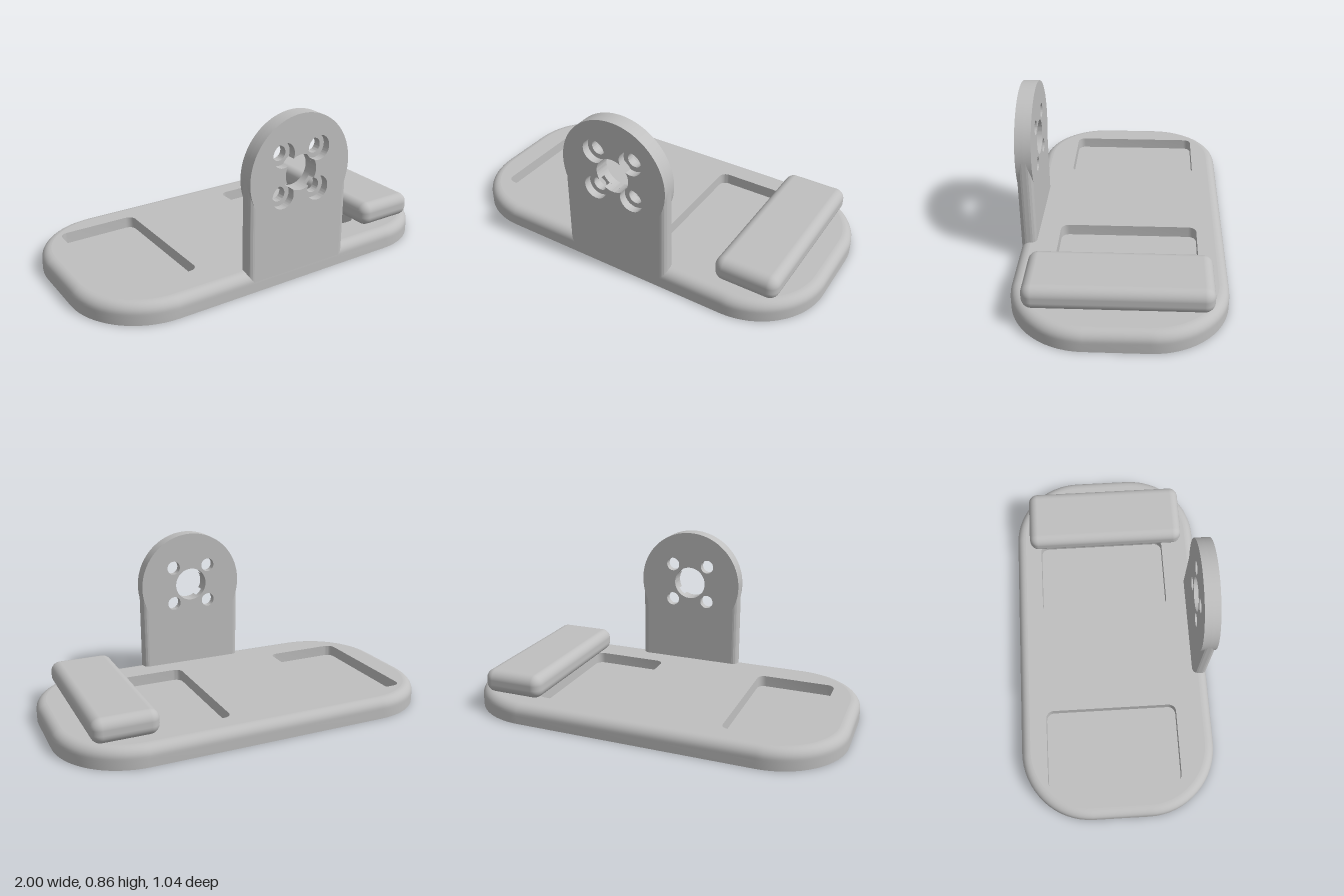
import * as THREE from 'three';
import { toCreasedNormals } from 'three/addons/utils/BufferGeometryUtils.js';
import { RoundedBoxGeometry } from 'three/addons/geometries/RoundedBoxGeometry.js';

const HALF_X = 1, HALF_Z = 0.52, CORNER = 0.37;
const FILLET = 0.05, BASE_TOP = 0.105, FLOOR = 0.045;

// Counter-clockwise rounded rectangle, as a list of arc-sampled points
function roundedRect(cx, cy, hx, hy, r, steps = 16) {
  const pts = [];
  [[1, 1], [-1, 1], [-1, -1], [1, -1]].forEach(([sx, sy], q) => {
    for (let i = 0; i <= steps; i++) {
      const a = (q + i / steps) * Math.PI / 2;
      pts.push(new THREE.Vector2(
        cx + sx * (hx - r) + r * Math.cos(a),
        cy + sy * (hy - r) + r * Math.sin(a)));
    }
  });
  return pts;
}

const baseOutline = (inset) =>
  roundedRect(0, 0, HALF_X - inset, HALF_Z - inset, CORNER - inset);

function extrude(shape, depth) {
  const geo = new THREE.ExtrudeGeometry(shape, { depth, bevelEnabled: false, curveSegments: 40 });
  return toCreasedNormals(geo, 0.6);
}

// Extrusion standing on y, from one height to another
function extrudeUp(shape, y0, y1) {
  return extrude(shape, y1 - y0).rotateX(-Math.PI / 2).translate(0, y0, 0);
}

// Rounded rim: outline loops that shrink along a quarter circle
function rimGeometry() {
  const rows = [[0, FLOOR]];
  for (let i = 0; i <= 8; i++) {
    const a = (i / 8) * Math.PI / 2;
    rows.push([FILLET * (1 - Math.cos(a)), BASE_TOP - FILLET + FILLET * Math.sin(a)]);
  }
  const pos = [], index = [];
  let n = 0;
  rows.forEach(([inset, y]) => {
    const loop = baseOutline(inset);
    n = loop.length;
    loop.forEach((p) => pos.push(p.x, y, -p.y));
  });
  for (let r = 0; r < rows.length - 1; r++) {
    for (let i = 0; i < n; i++) {
      const j = (i + 1) % n;
      const a = r * n + i, b = r * n + j, c = a + n, d = b + n;
      index.push(a, b, d, a, d, c);
    }
  }
  const geo = new THREE.BufferGeometry();
  geo.setAttribute('position', new THREE.Float32BufferAttribute(pos, 3));
  geo.setIndex(index);
  geo.computeVertexNormals();
  return geo;
}

export function createModel() {
  const model = new THREE.Group();
  model.name = 'standWithBracket';
  const grey = new THREE.MeshStandardMaterial({ color: 0xbfbfbf });
  grey.name = 'plain grey';

  function add(parent, name, geo) {
    const mesh = new THREE.Mesh(geo, grey);
    mesh.name = name;
    parent.add(mesh);
    return mesh;
  }

  // Base: floor slab, top deck with two pockets, rounded rim
  const base = new THREE.Group();
  base.name = 'base';
  model.add(base);
  add(base, 'baseFloor', extrudeUp(new THREE.Shape(baseOutline(0)), 0, FLOOR));
  const deck = new THREE.Shape(baseOutline(FILLET));
  for (const x of [-0.63, 0.37]) {
    deck.holes.push(new THREE.Path(roundedRect(x, 0.025, 0.21, 0.355, 0.04, 6)));
  }
  add(base, 'baseDeck', extrudeUp(deck, FLOOR, BASE_TOP));
  add(base, 'baseRim', rimGeometry());

  // Rounded block lying across the right end of the deck
  add(model, 'restBlock', new RoundedBoxGeometry(0.33, 0.125, 0.88, 5, 0.05))
    .position.set(0.705, 0.1675, 0);

  // Bracket: built around the centre of its round head
  const bracket = new THREE.Group();
  bracket.name = 'bracket';
  bracket.position.set(0.04, 0.565, 0.44);
  model.add(bracket);
  const R = 0.29, EDGE = 0.03, DEPTH = 0.08, BOTTOM = 0.055 - 0.565;
  const side = R - EDGE, start = -Math.acos(side / R);

  function plateShape() {
    const s = new THREE.Shape();
    s.moveTo(-side, BOTTOM);
    s.lineTo(side, BOTTOM);
    s.absarc(0, 0, R, start, Math.PI - start, false);
    s.closePath();
    return s;
  }

  const HOLE = 0.09, BORE = 0.062, SCREW = 0.037, D = 0.145;
  const angles = [1, 3, 5, 7].map((k) => k * Math.PI / 4);

  // Back layer: centre hole and four screw holes
  const back = plateShape();
  back.holes.push(new THREE.Path().absarc(0, 0, HOLE, 0, Math.PI * 2, false));
  angles.forEach((t) => back.holes.push(
    new THREE.Path().absarc(D * Math.cos(t), D * Math.sin(t), SCREW, 0, Math.PI * 2, false)));
  add(bracket, 'bracketBackPlate', extrude(back, DEPTH / 2));

  // Front layer: counterbores that just break into the centre hole
  const front = plateShape();
  const a = Math.acos((HOLE ** 2 + D ** 2 - BORE ** 2) / (2 * HOLE * D));
  const b = Math.acos((BORE ** 2 + D ** 2 - HOLE ** 2) / (2 * BORE * D));
  const cut = new THREE.Path();
  angles.forEach((t) => {
    cut.absarc(0, 0, HOLE, t - Math.PI / 2 + a, t - a, false);
    cut.absarc(D * Math.cos(t), D * Math.sin(t), BORE, t + Math.PI + b, t + 3 * Math.PI - b, false);
  });
  front.holes.push(cut);
  add(bracket, 'bracketFrontPlate', extrude(front, DEPTH / 2)).position.z = DEPTH / 2;

  // Rounded upright edges of the post, running up into the round head
  for (const s of [1, -1]) {
    const strip = new THREE.Shape();
    const h = DEPTH / 2;
    if (s > 0) {
      strip.moveTo(side, -h);
      strip.absarc(side, -h + EDGE, EDGE, -Math.PI / 2, 0, false);
      strip.absarc(side, h - EDGE, EDGE, 0, Math.PI / 2, false);
    } else {
      strip.moveTo(-side, h);
      strip.absarc(-side, h - EDGE, EDGE, Math.PI / 2, Math.PI, false);
      strip.absarc(-side, -h + EDGE, EDGE, Math.PI, Math.PI * 1.5, false);
    }
    strip.closePath();
    add(bracket, s > 0 ? 'leftPostEdge' : 'rightPostEdge', extrudeUp(strip, BOTTOM, 0))
      .position.z = h;
  }
  return model;
}
